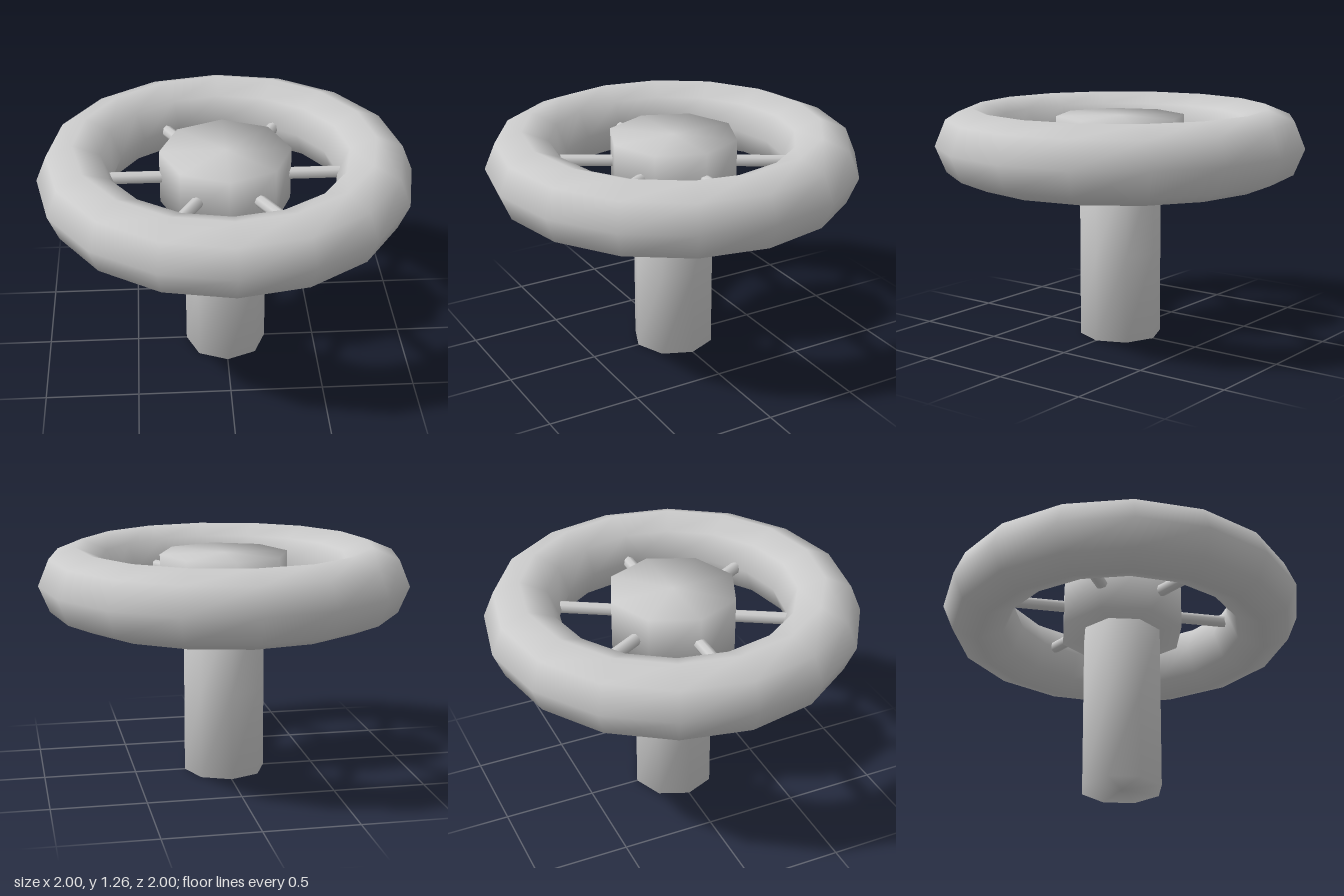
import * as THREE from 'three';
import { mergeVertices } from 'three/addons/utils/BufferGeometryUtils.js';

const material = new THREE.MeshStandardMaterial({ color: 0xcccccc });

// Eight-sided prism whose normals blend over all its edges
function softPrism(radius, height, rows = 1) {
  const geometry = new THREE.CylinderGeometry(radius, radius, height, 8, rows);
  geometry.deleteAttribute('normal');
  geometry.deleteAttribute('uv');
  const welded = mergeVertices(geometry);
  welded.computeVertexNormals();
  return welded;
}

function part(name, geometry, y) {
  const mesh = new THREE.Mesh(geometry, material);
  mesh.name = name;
  mesh.position.y = y;
  return mesh;
}

export function createModel() {
  const model = new THREE.Group();
  model.name = 'handwheel';
  const wheelY = 1.065;

  // Thick rim lying flat
  const rim = new THREE.TorusGeometry(0.8, 0.2, 8, 16).rotateX(Math.PI / 2);
  model.add(part('rim', rim, wheelY));

  // Hub and the stem that carries it
  model.add(part('hub', softPrism(0.35, 0.3), wheelY));
  model.add(part('stem', softPrism(0.223, 0.95, 2), 0.475));

  // Six thin spokes from hub to rim
  const spokes = new THREE.Group();
  spokes.name = 'spokes';
  for (let i = 0; i < 6; i++) {
    const spoke = new THREE.CylinderGeometry(0.033, 0.033, 0.4, 8)
      .rotateZ(Math.PI / 2)
      .translate(0.45, 0, 0)
      .rotateY((i * Math.PI) / 3);
    spokes.add(part('spoke', spoke, wheelY));
  }
  model.add(spokes);

  return model;
}
